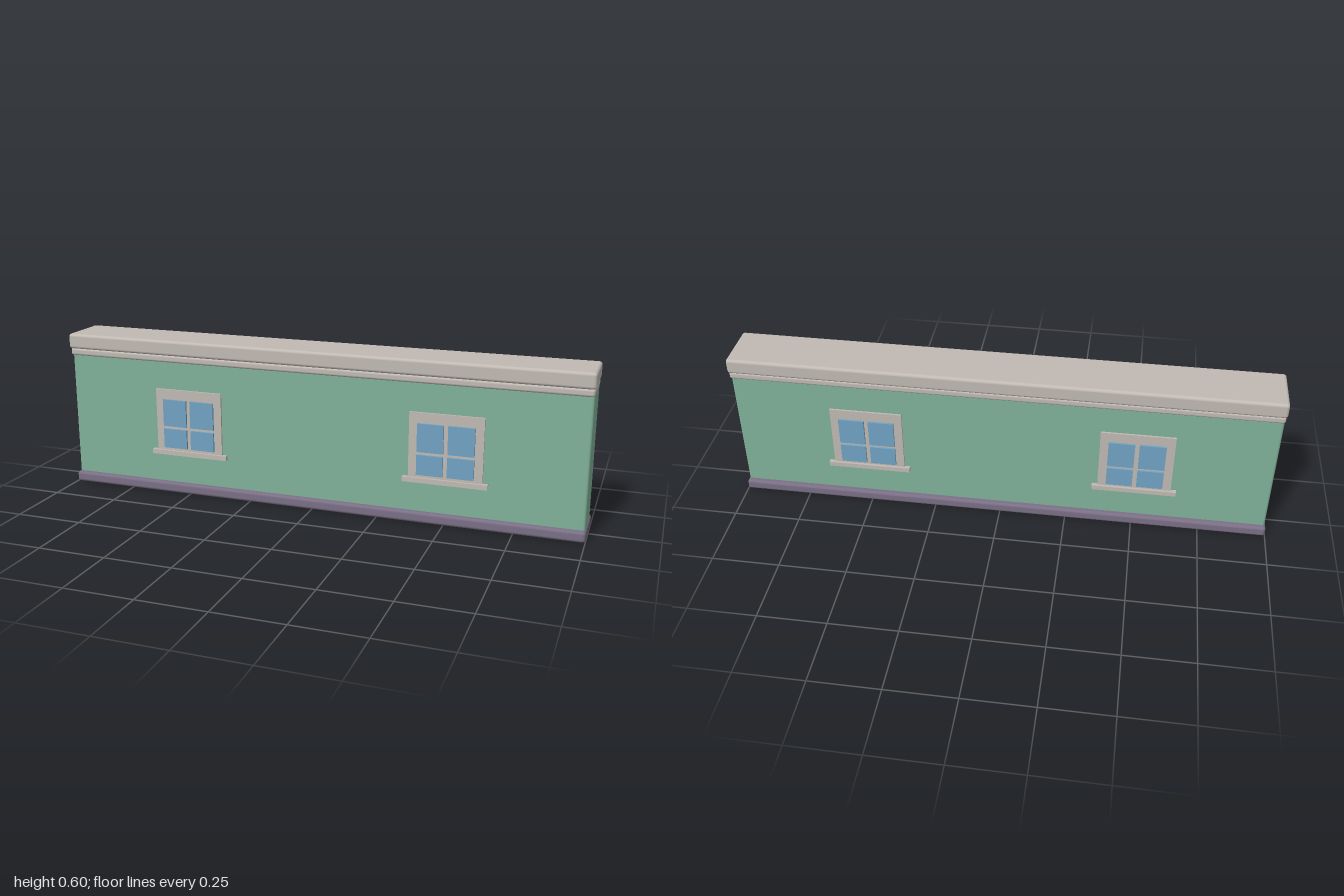
import * as THREE from 'three';
import { RoundedBoxGeometry } from 'three/addons/geometries/RoundedBoxGeometry.js';

const material = (name, color) => {
  const m = new THREE.MeshStandardMaterial({ color });
  m.name = name;
  return m;
};

export function createModel() {
  const green = material('green plaster', 0x80b299);
  const stone = material('pale stone', 0xc1bab3);
  const plinth = material('purple grey plinth', 0x7b6f86);
  const glass = material('blue glass', 0x72a3c4);

  const model = new THREE.Group();
  model.name = 'wallWithWindows';

  const add = (parent, name, geometry, mat, x, y, z) => {
    const mesh = new THREE.Mesh(geometry, mat);
    mesh.name = name;
    mesh.position.set(x, y, z);
    parent.add(mesh);
  };

  // Long rounded slab between two heights
  const slab = (name, mat, length, y0, y1, depth, radius, segments) =>
    add(model, name, new RoundedBoxGeometry(length, y1 - y0, depth, segments, radius), mat, 0, (y0 + y1) / 2, 0);

  slab('base', plinth, 2, 0, 0.04, 0.2, 0.011, 2);
  slab('wall', green, 1.992, 0.02, 0.535, 0.16, 0.009, 3);
  slab('moulding', stone, 1.994, 0.517, 0.545, 0.186, 0.009, 3);
  slab('cap', stone, 2, 0.544, 0.602, 0.2, 0.011, 3);

  // Window facing +z, with its origin on the wall's middle plane
  const makeWindow = () => {
    const win = new THREE.Group();
    win.name = 'window';
    const box = (name, mat, w, y0, y1, z0, z1, x = 0) =>
      add(win, name, new THREE.BoxGeometry(w, y1 - y0, z1 - z0), mat, x, (y0 + y1) / 2, (z0 + z1) / 2);

    box('frame', stone, 0.27, 0.165, 0.411, 0.075, 0.087);
    box('sill', stone, 0.31, 0.152, 0.17, 0.075, 0.096);
    for (const x of [-0.056, 0.056]) {
      box('lowerPane', glass, 0.096, 0.181, 0.256, 0.0865, 0.0945, x);
      box('upperPane', glass, 0.096, 0.267, 0.372, 0.0865, 0.0945, x);
    }
    return win;
  };

  // Two windows on the front and two on the back
  for (const turn of [0, Math.PI]) {
    for (const x of [-0.5, 0.5]) {
      const win = makeWindow();
      win.position.x = x;
      win.rotation.y = turn;
      model.add(win);
    }
  }
  return model;
}
